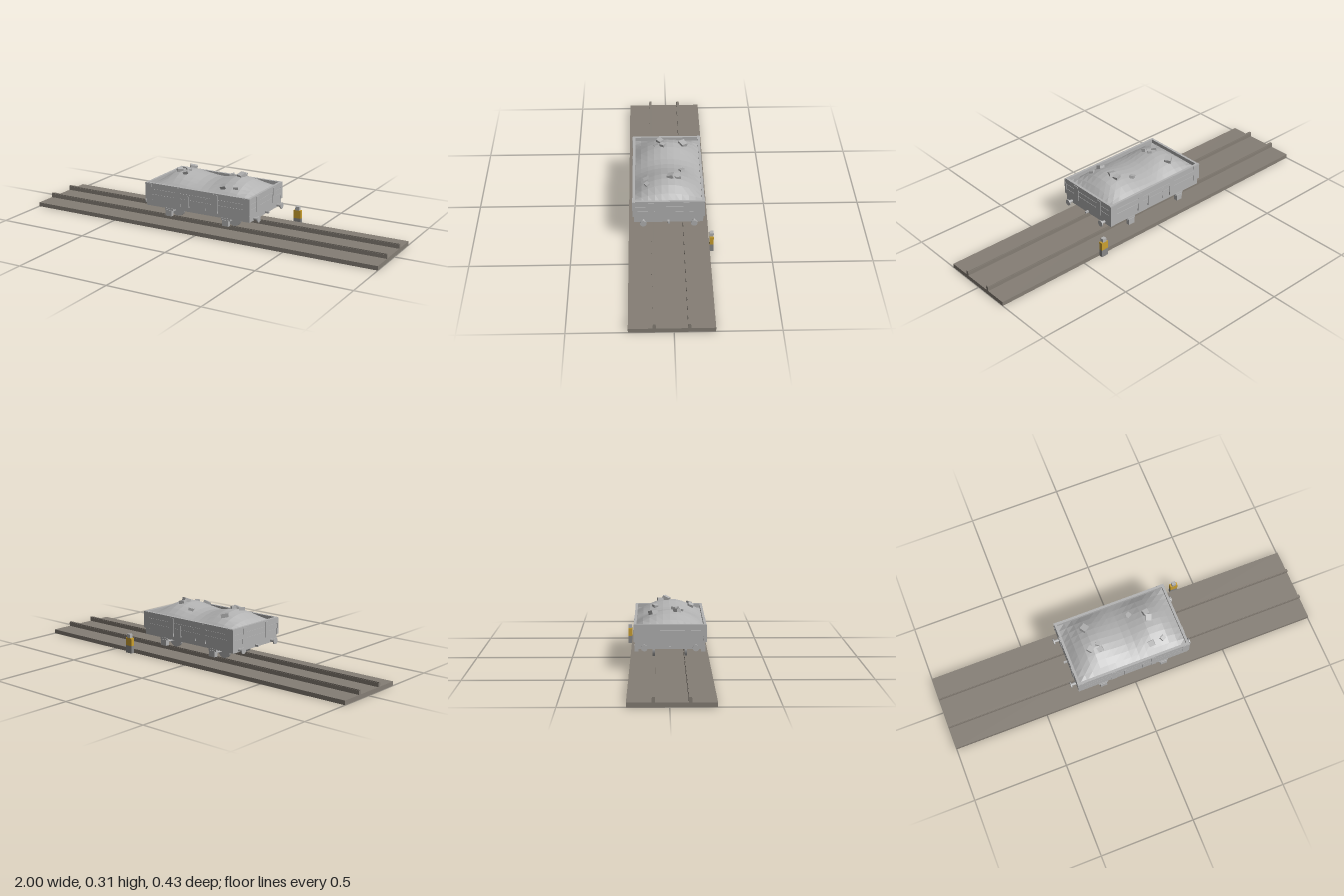
import * as THREE from 'three';

const mat = (name, color) => {
  const m = new THREE.MeshStandardMaterial({ color });
  m.name = name;
  return m;
};

export function createModel() {
  const ballast = mat('trackbed brown grey', 0x857e75);
  const steel = mat('wagon grey', 0xb2b2b2);
  const yellow = mat('marker yellow', 0xcba02f);
  const stone = mat('post grey', 0x888887);

  const root = new THREE.Group();
  const add = (parent, name, geo, m, x, y, z) => {
    const mesh = new THREE.Mesh(geo, m);
    mesh.name = name;
    mesh.position.set(x, y, z);
    parent.add(mesh);
    return mesh;
  };
  // box given by its size and centre
  const box = (parent, name, m, w, h, d, x, y, z) =>
    add(parent, name, new THREE.BoxGeometry(w, h, d), m, x, y, z);

  // track
  const track = new THREE.Group();
  track.name = 'track';
  track.position.z = 0.01;
  root.add(track);
  box(track, 'trackbed', ballast, 2, 0.022, 0.405, 0, 0.011, 0);
  for (const s of [-1, 1]) {
    box(track, 'railWeb', ballast, 2, 0.02, 0.015, 0, 0.032, s * 0.0815);
    box(track, 'railHead', ballast, 2, 0.008, 0.012, 0, 0.043, s * 0.0815);
  }

  // marker post beside the track
  const post = new THREE.Group();
  post.name = 'markerPost';
  post.position.set(0.382, 0, -0.2028);
  root.add(post);
  box(post, 'postBase', stone, 0.04, 0.04, 0.0195, 0, 0.02, 0);
  box(post, 'postBand', yellow, 0.04, 0.043, 0.0195, 0, 0.0615, 0);
  box(post, 'postCap', steel, 0.022, 0.02, 0.0195, 0, 0.093, 0);

  // wagon, symmetric about its own centre
  const wagon = new THREE.Group();
  wagon.name = 'wagon';
  wagon.position.set(-0.003, 0, 0.01);
  root.add(wagon);
  const L = 0.304, W = 0.178; // half length and half width of the walls

  // underframe and floor
  box(wagon, 'floor', steel, 0.606, 0.012, 0.354, 0, 0.148, 0);
  for (const s of [-1, 1]) {
    box(wagon, 'solebar', steel, 0.606, 0.036, 0.016, 0, 0.129, s * 0.166);
    box(wagon, 'headstock', steel, 0.016, 0.036, 0.346, s * 0.296, 0.129, 0);
    box(wagon, 'innerBeam', steel, 0.58, 0.026, 0.014, 0, 0.134, s * 0.045);
  }

  // walls with planks, posts and door frames
  for (const s of [-1, 1]) {
    box(wagon, 'sideWall', steel, 2 * L, 0.088, 0.01, 0, 0.191, s * (W - 0.005));
    box(wagon, 'endWall', steel, 0.01, 0.088, 2 * W - 0.02, s * (L - 0.005), 0.191, 0);
    for (let i = 0; i < 3; i++) {
      const y = 0.162 + i * 0.0285;
      box(wagon, 'sidePlank', steel, 0.6, 0.0265, 0.002, 0, y, s * (W + 0.001));
      box(wagon, 'endPlank', steel, 0.002, 0.0265, 0.35, s * (L + 0.001), y, 0);
    }
    box(wagon, 'sideTopRail', steel, 0.614, 0.006, 0.013, 0, 0.2325, s * (W - 0.0045));
    box(wagon, 'endTopRail', steel, 0.013, 0.006, 0.34, s * (L - 0.0045), 0.2325, 0);
    for (const t of [-1, 1]) {
      box(wagon, 'cornerPlate', steel, 0.04, 0.086, 0.005, t * 0.288, 0.19, s * (W + 0.0015));
      box(wagon, 'endCornerPlate', steel, 0.005, 0.086, 0.014, s * (L + 0.001), 0.19, t * 0.174);
      box(wagon, 'doorPost', steel, 0.026, 0.098, 0.006, t * 0.11, 0.18, s * (W + 0.001));
      box(wagon, 'endPost', steel, 0.008, 0.081, 0.03, s * (L + 0.001), 0.1885, t * 0.089);
      box(wagon, 'doorHinge', steel, 0.01, 0.06, 0.006, t * 0.05, 0.165, s * (W + 0.001));
    }
  }

  // wheelsets with axle boxes and hangers
  const wheelGeo = new THREE.CylinderGeometry(0.04, 0.04, 0.012, 20).rotateX(Math.PI / 2);
  const axleGeo = new THREE.CylinderGeometry(0.005, 0.005, 0.33, 10).rotateX(Math.PI / 2);
  for (const x of [-0.168, 0.168]) {
    add(wagon, 'axle', axleGeo, steel, x, 0.087, 0);
    for (const s of [-1, 1]) {
      add(wagon, 'wheel', wheelGeo, steel, x, 0.087, s * 0.0815);
      box(wagon, 'axleBox', steel, 0.036, 0.032, 0.021, x, 0.088, s * 0.17);
      box(wagon, 'axleHanger', steel, 0.05, 0.012, 0.017, x, 0.107, s * 0.168);
    }
  }

  // buffers and coupling hooks
  const shankGeo = new THREE.CylinderGeometry(0.007, 0.009, 0.026, 12).rotateZ(Math.PI / 2);
  const discGeo = new THREE.CylinderGeometry(0.0165, 0.0165, 0.006, 18).rotateZ(Math.PI / 2);
  for (const s of [-1, 1]) {
    for (const t of [-1, 1]) {
      add(wagon, 'bufferShank', shankGeo, steel, s * 0.316, 0.122, t * 0.128);
      add(wagon, 'bufferDisc', discGeo, steel, s * 0.331, 0.122, t * 0.128);
    }
    box(wagon, 'couplingHook', steel, 0.02, 0.01, 0.01, s * 0.313, 0.12, 0);
  }

  // heaped load: two mounds with a saddle between them
  const heapHeight = (x, z) => {
    const u = Math.min(1, Math.abs(x) / 0.296), w = Math.min(1, Math.abs(z) / 0.17);
    const ridge = (0.62 + 0.42 * Math.sin(Math.PI * u / 1.13) ** 2) * (1 - u ** 6);
    return 0.214 + 0.07 * ridge * (1 - w * w);
  };
  const plane = new THREE.PlaneGeometry(0.592, 0.34, 14, 10).rotateX(-Math.PI / 2);
  const p = plane.attributes.position;
  for (let i = 0; i < p.count; i++) p.setY(i, heapHeight(p.getX(i), p.getZ(i)));
  const heap = plane.toNonIndexed();
  heap.computeVertexNormals();
  add(wagon, 'heapedLoad', heap, steel, 0, 0, 0);

  // loose lumps on the heap: x, z, size, turn
  const lumps = [
    [-0.172, -0.085, 0.034, 0.6], [0.068, -0.073, 0.024, 0.5], [0.152, -0.048, 0.028, 0.2],
    [0.155, -0.015, 0.032, 1.2], [-0.184, 0.036, 0.028, 0.7], [-0.136, 0.054, 0.026, 0.2],
    [-0.138, 0.022, 0.022, 1.0], [0.122, 0.113, 0.028, 0.1], [0.186, 0.107, 0.022, 0.5],
  ];
  lumps.forEach(([x, z, size, turn], i) => {
    const lump = box(wagon, 'lump', steel, size * 1.1, size * 0.6, size, x, heapHeight(x, z) + 0.006, z);
    lump.rotation.set(z * 2 + 0.15, turn, i % 2 ? 0.25 : -0.2);
  });

  return root;
}
